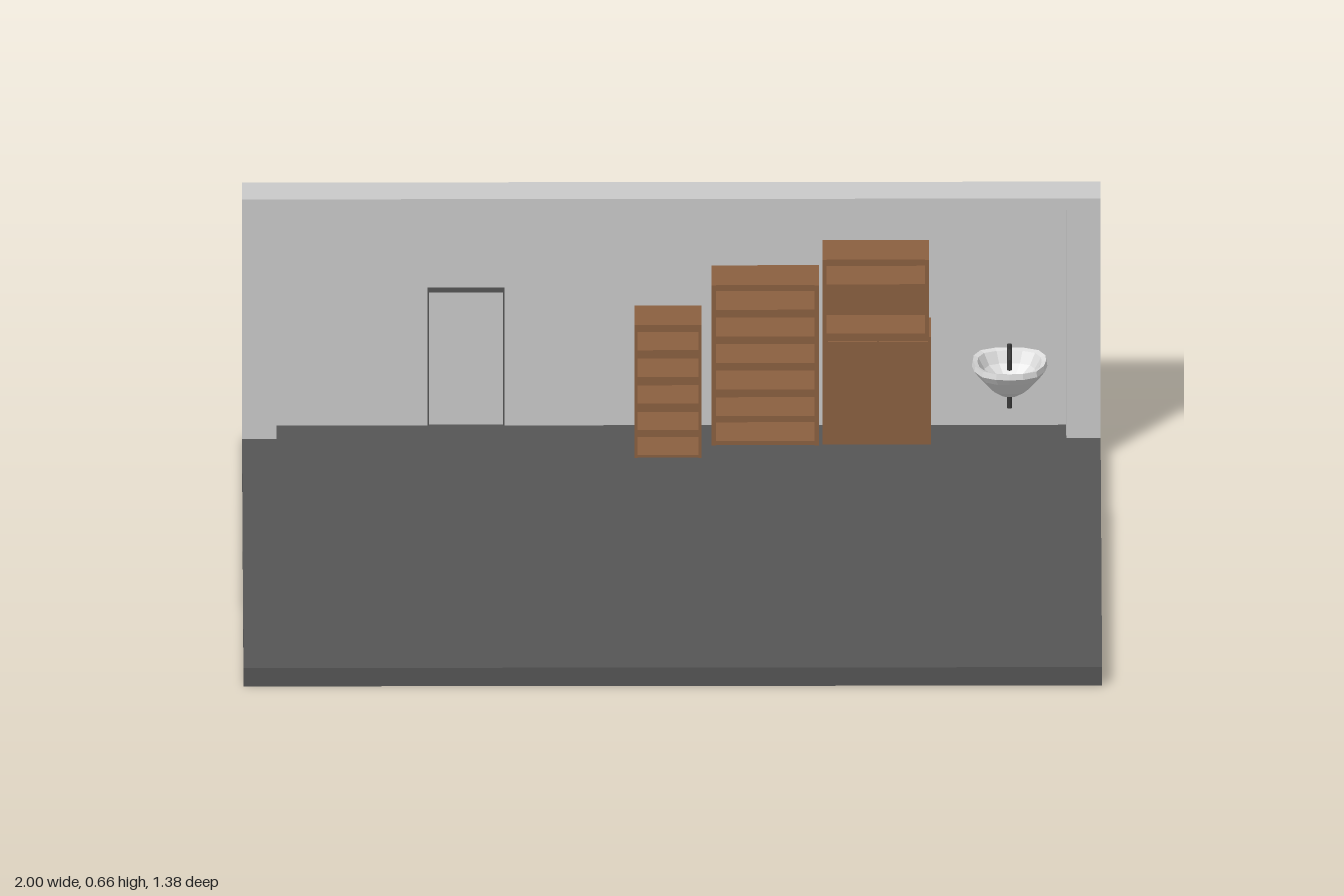
import * as THREE from 'three';

const mat = (name, color, extra = {}) => {
  const m = new THREE.MeshStandardMaterial({ color, ...extra });
  m.name = name;
  return m;
};

export function createModel() {
  const root = new THREE.Group();
  root.name = 'room';
  const wallGrey = mat('wall grey', 0xcacaca);
  const floorGrey = mat('floor grey', 0x555555);
  const wood = mat('wood brown', 0x8b6040);
  const ceramic = mat('ceramic white', 0xdcdcdc, { flatShading: true, side: THREE.DoubleSide });
  const darkMetal = mat('dark metal', 0x3a3a3a);

  const FLOOR = 0.047, BACK = -0.672;

  const add = (parent, name, geometry, material) => {
    const mesh = new THREE.Mesh(geometry, material);
    mesh.name = name;
    parent.add(mesh);
    return mesh;
  };
  // Box given by its limits on each axis
  const box = (parent, name, material, x0, x1, y0, y1, z0, z1) => {
    const m = add(parent, name, new THREE.BoxGeometry(x1 - x0, y1 - y0, z1 - z0), material);
    m.position.set((x0 + x1) / 2, (y0 + y1) / 2, (z0 + z1) / 2);
  };
  const group = (name) => {
    const g = new THREE.Group();
    g.name = name;
    root.add(g);
    return g;
  };
  const outline = (points, depth, z) => {
    const shape = new THREE.Shape(points.map(([x, y]) => new THREE.Vector2(x, y)));
    return new THREE.ExtrudeGeometry(shape, { depth, bevelEnabled: false }).translate(0, 0, z);
  };

  box(root, 'floor', floorGrey, -1, 1, 0, FLOOR, -0.692, 0.692);

  // Wall: thin back panel with a doorway, and pillars with a header in front
  const wall = group('wall');
  const dx0 = -0.568, dx1 = -0.388, dTop = 0.4, top = 0.66;
  add(wall, 'backPanel', outline([
    [-1, FLOOR], [dx0, FLOOR], [dx0, dTop], [dx1, dTop], [dx1, FLOOR],
    [1, FLOOR], [1, top], [-1, top],
  ], BACK + 0.692, -0.692), wallGrey);
  add(wall, 'pillarsAndHeader', outline([
    [-1, FLOOR], [-0.92, FLOOR], [-0.92, 0.63], [-0.08, 0.63], [-0.08, FLOOR],
    [0.07, FLOOR], [0.07, 0.63], [0.92, 0.63], [0.92, FLOOR], [1, FLOOR], [1, top], [-1, top],
  ], -0.597 - BACK, BACK), wallGrey);

  // Door set into the doorway, with a thin dark frame
  const door = group('door');
  box(door, 'doorSlab', wallGrey, dx0 + 0.004, dx1 - 0.004, FLOOR, dTop - 0.012, -0.686, -0.678);
  box(door, 'frameTop', floorGrey, dx0, dx1, dTop - 0.012, dTop, -0.691, -0.671);
  for (const x of [dx0, dx1 - 0.004])
    box(door, 'frameJamb', floorGrey, x, x + 0.004, FLOOR, dTop - 0.012, -0.691, -0.671);

  // Open case: sides, back, top, bottom and shelves at the given heights
  const openCase = (name, x0, x1, y0, y1, z0, z1, shelfHeights, t) => {
    const g = group(name);
    box(g, 'leftSide', wood, x1 - t, x1, y0, y1, z0, z1);
    box(g, 'rightSide', wood, x0, x0 + t, y0, y1, z0, z1);
    box(g, 'caseBack', wood, x0 + t, x1 - t, y0, y1, z0, z0 + 0.006);
    for (const y of [y0, ...shelfHeights, y1 - t])
      box(g, 'shelf', wood, x0 + t, x1 - t, y, y + t, z0 + 0.006, z1 - 0.002);
  };
  const steps = (n) => Array.from({ length: n }, (_, i) => FLOOR + 0.068 * (i + 1) - 0.004);
  openCase('narrowBookcase', -0.086, 0.07, FLOOR, 0.387, -0.597, -0.487, steps(4), 0.007);
  openCase('wideBookcase', 0.094, 0.344, FLOOR, 0.456, BACK, -0.558, steps(5), 0.01);

  // Cupboard with two doors below an open hutch
  openCase('hutch', 0.352, 0.6, 0.322, 0.52, BACK, -0.56, [0.448], 0.009);
  const cupboard = group('cupboard');
  box(cupboard, 'cupboardBody', wood, 0.352, 0.605, FLOOR, 0.322, BACK, -0.562);
  for (const x of [0.365, 0.484])
    box(cupboard, 'cupboardDoor', wood, x, x + 0.114, 0.06, 0.312, -0.562, -0.556);

  // Sink: turned profile squared off and pressed against the wall
  const sink = group('sink');
  sink.position.set(0.788, 0, -0.597);
  const profile = [[0.02, 0.157], [0.22, 0.16], [0.5, 0.178], [0.85, 0.214], [1, 0.232], [0.97, 0.246],
    [0.85, 0.242], [0.68, 0.215], [0.4, 0.196], [0.02, 0.19]].map(([r, y]) => new THREE.Vector2(r, y));
  const bowl = new THREE.LatheGeometry(profile, 16);
  const p = bowl.attributes.position;
  for (let i = 0; i < p.count; i++) {
    const x = p.getX(i), z = p.getZ(i), r = Math.hypot(x, z);
    const k = Math.pow(Math.pow(Math.abs(x / r), 3) + Math.pow(Math.abs(z / r), 3), -1 / 3);
    p.setX(i, x * k * 0.088 * (z > 0 ? 1 - 0.12 * z : 1));
    p.setZ(i, z * k * (z > 0 ? 0.082 : 0.075));
  }
  bowl.computeVertexNormals();
  add(sink, 'basin', bowl, ceramic);

  // Drain pipe and tap
  const rod = (name, r, from, to) => {
    const path = new THREE.LineCurve3(new THREE.Vector3(...from), new THREE.Vector3(...to));
    add(sink, name, new THREE.TubeGeometry(path, 1, r, 8), darkMetal);
  };
  const post = (name, height, y, z) => {
    const m = add(sink, name, new THREE.CylinderGeometry(0.006, 0.006, height, 8), darkMetal);
    m.position.set(0, y, z);
  };
  post('drainPipe', 0.068, 0.159, 0);
  post('tapPost', 0.065, 0.243, -0.025);
  rod('tapSpout', 0.005, [0, 0.262, -0.025], [0, 0.25, 0.016]);
  rod('tapLever', 0.003, [0, 0.273, -0.03], [0, 0.281, 0]);
  return root;
}
